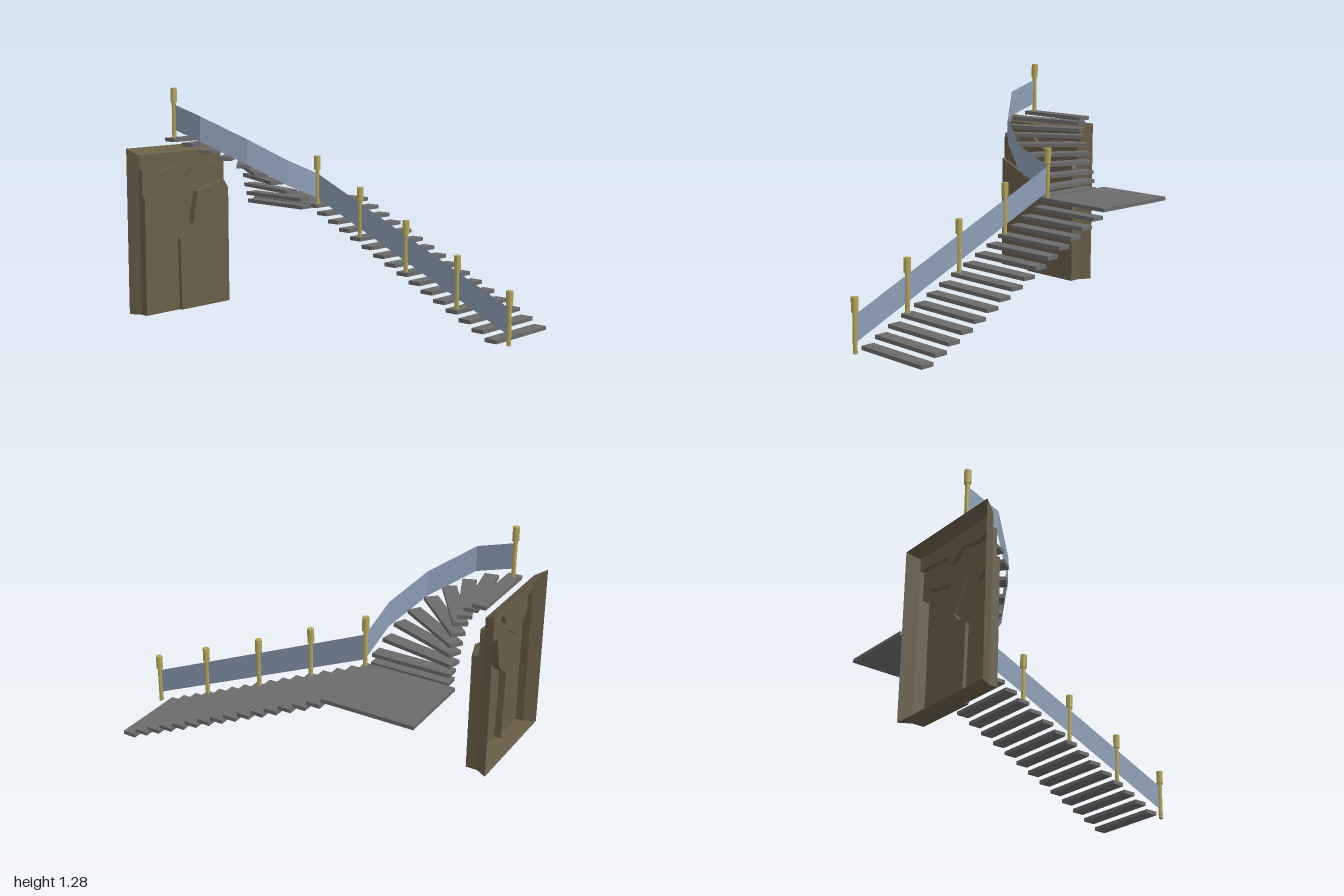
import * as THREE from 'three';

const make = (color, name, side = THREE.FrontSide) => {
  const m = new THREE.MeshStandardMaterial({ color, side });
  m.name = name;
  return m;
};

// Flat-shaded ribbon between two paths with the same number of points
function ribbon(a, b) {
  const v = [];
  for (let i = 0; i < a.length - 1; i++) {
    v.push(...a[i], ...a[i + 1], ...b[i + 1], ...a[i], ...b[i + 1], ...b[i]);
  }
  const g = new THREE.BufferGeometry();
  g.setAttribute('position', new THREE.Float32BufferAttribute(v, 3));
  g.computeVertexNormals();
  return g;
}

export function createModel() {
  const model = new THREE.Group();
  model.name = 'staircase';
  const treadMat = make(0x6b6b6b, 'grey tread');
  const railMat = make(0x8c9db5, 'blue panel', THREE.DoubleSide);
  const postMat = make(0xb5a55a, 'brass');
  const wallMat = make(0x685d47, 'brown stone', THREE.DoubleSide);

  const add = (geo, mat, name, parent = model) => {
    const m = new THREE.Mesh(geo, mat);
    m.name = name;
    parent.add(m);
    return m;
  };

  // Straight flight and landing
  const treadGeo = new THREE.BoxGeometry(0.447, 0.021, 0.077);
  for (let i = 0; i < 15; i++) {
    add(treadGeo, treadMat, 'straightTread').position.set(0.433, 0.012 + i * 0.039, 0.882 - i * 0.0863);
  }
  add(new THREE.BoxGeometry(0.447, 0.021, 0.52), treadMat, 'landing').position.set(0.433, 0.597, -0.63);

  // Winding flight: x, y, z of each tread, turning a quarter circle
  const winders = [
    [0.15, 0.597, -0.617], [0.14, 0.643, -0.617], [0.091, 0.694, -0.628], [0.045, 0.75, -0.64],
    [0, 0.799, -0.66], [-0.054, 0.848, -0.687], [-0.109, 0.893, -0.718], [-0.147, 0.929, -0.768],
    [-0.179, 0.966, -0.832], [-0.194, 0.988, -0.915],
  ];
  winders.forEach((p, i) => {
    const t = add(treadGeo, treadMat, 'windingTread');
    t.position.set(...p);
    t.rotation.y = Math.PI / 2 - Math.max(0, i - 1) * Math.PI / 16;
  });

  // Railing panels: lower edge path, raised by the panel height
  const railing = (pts, name) =>
    add(ribbon(pts, pts.map(([x, y, z]) => [x, y + 0.143, z])), railMat, name);
  railing([[0.235, 0.053, 0.98], [0.235, 0.642, -0.385]], 'straightRailing');
  railing([
    [0.235, 0.642, -0.385], [0.005, 0.733, -0.392], [-0.2, 0.86, -0.51],
    [-0.368, 0.987, -0.71], [-0.38, 1.044, -0.915],
  ], 'curvedRailing');

  // Posts with thicker caps
  const shaftGeo = new THREE.CylinderGeometry(0.012, 0.012, 0.21, 10);
  const capGeo = new THREE.CylinderGeometry(0.0185, 0.0185, 0.078, 10);
  const posts = [
    [0.235, 0, 0.98], [0.235, 0.143, 0.64], [0.235, 0.293, 0.283],
    [0.235, 0.445, -0.053], [0.235, 0.598, -0.385], [-0.38, 0.992, -0.918],
  ];
  for (const p of posts) {
    const post = new THREE.Group();
    post.name = 'post';
    post.position.set(...p);
    add(shaftGeo, postMat, 'postShaft', post).position.y = 0.105;
    add(capGeo, postMat, 'postCap', post).position.y = 0.249;
    model.add(post);
  }

  // Cracked wall: an open-backed shell of stepped slabs
  const wall = new THREE.Group();
  wall.name = 'wall';
  model.add(wall);
  const L = -0.625, R = -0.018, B = 0.01, T = 0.915;
  const at = (pts, z) => pts.map(([x, y]) => [x, y, z]);
  const slab = (pts, zFront, zBack, name) => {
    const shape = new THREE.Shape(pts.map(p => new THREE.Vector2(...p)));
    add(new THREE.ShapeGeometry(shape), wallMat, name, wall).position.z = zFront;
    if (zBack < zFront) {
      const loop = [...pts, pts[0]];
      add(ribbon(at(loop, zBack), at(loop, zFront)), wallMat, name + 'Edge', wall);
    }
  };
  // Crack lines, each running from left to right
  const upperCrack = [[L, 0.835], [-0.5, 0.81], [-0.38, 0.835], [-0.29, 0.77], [-0.25, 0.83], [R, 0.845]];
  const leftCrack = [[L, 0.685], [-0.48, 0.62], [-0.385, 0.685], [-0.29, 0.505]];
  const rightCrack = [[-0.29, 0.505], [-0.25, 0.685], [-0.05, 0.735], [R, 0.685]];
  const downCrack = [[-0.382, B], [-0.39, 0.425], [-0.325, 0.465]];

  slab([...downCrack, ...rightCrack, [R, B]].reverse(), -0.87, -0.91, 'lowerLeftSlab');
  slab([[L, B], ...downCrack, ...leftCrack.slice().reverse()], -0.89, -0.91, 'lowerRightSlab');
  slab([...leftCrack, ...rightCrack.slice(1), ...upperCrack.slice().reverse()], -0.91, -0.91, 'middleSlab');
  slab([...upperCrack, [R, T], [L, T]], -0.935, -0.935, 'topSlab');

  // Step behind the lower slabs
  const step = [[L, B], [R, B], ...upperCrack.slice().reverse(), [L, B]];
  add(ribbon(at(step, -0.935), at(step, -0.91)), wallMat, 'wallStep', wall);

  // Flared frame at the back
  const inner = [[R, B], [R, T], [L, T], [L, B], [R, B]];
  const outer = [[0.02, B], [0.02, 0.95], [-0.66, 0.95], [-0.66, B], [0.02, B]];
  add(ribbon(at(outer, -1), at(inner, -0.935)), wallMat, 'wallFrame', wall);

  return model;
}
